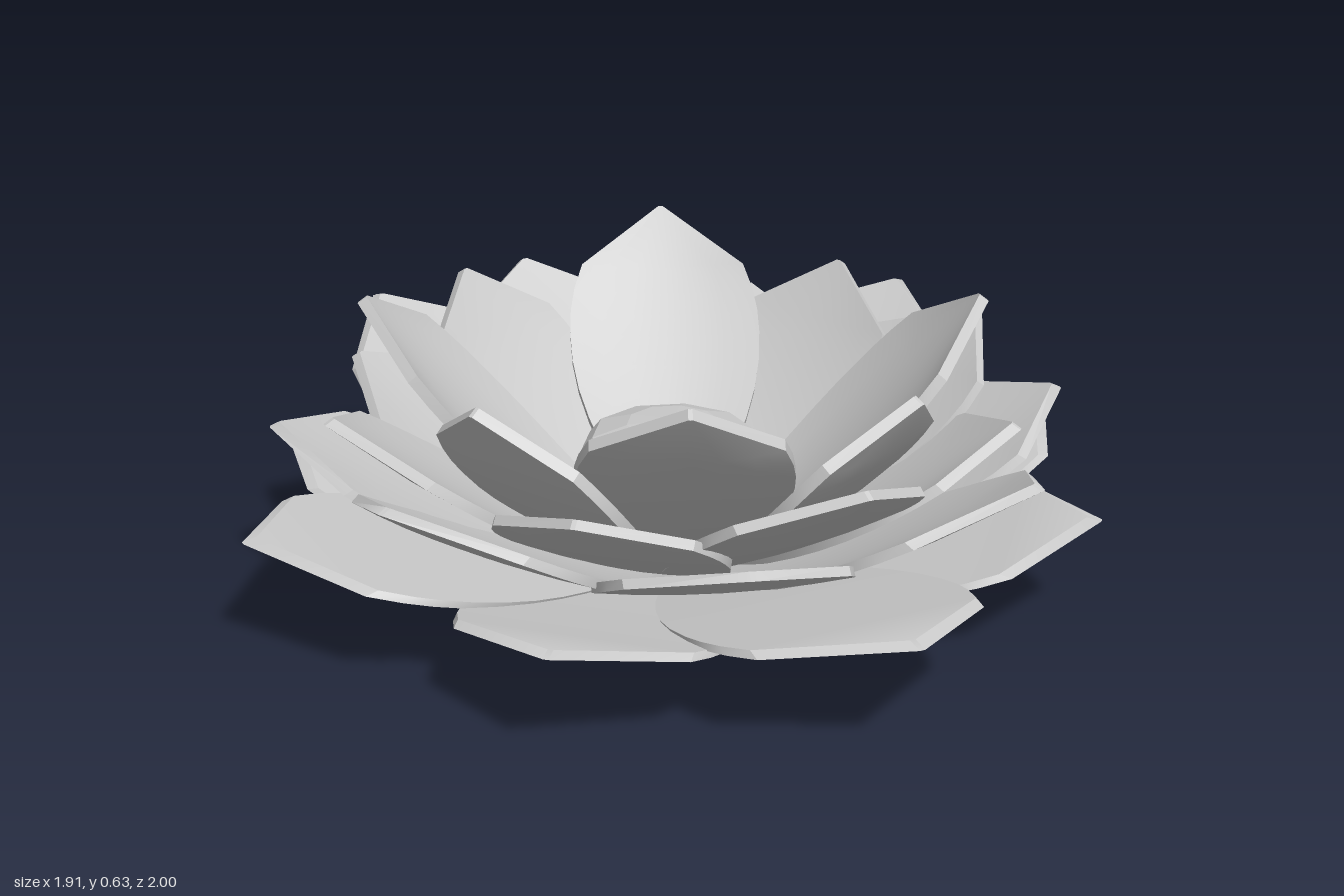
import * as THREE from 'three';
import { toCreasedNormals } from 'three/addons/utils/BufferGeometryUtils.js';

// Petal outline: [position along the petal, half width factor]
const OUTLINE = [
  [0, 0.08], [0.08, 0.2], [0.16, 0.36], [0.24, 0.53], [0.32, 0.69], [0.4, 0.82], [0.48, 0.92],
  [0.56, 0.98], [0.64, 1], [0.7, 0.99], [0.76, 0.95], [0.83, 0.86], [1, 0.02],
];
const COLS = 6;
const OVAL = 0.955; // the whorls are slightly oval, narrower from side to side

// Curved, pointed petal growing from the centre along +z, with a thick rim
function petalGeometry({ r, y, w, bend, cup, thick, bevel }) {
  const curve = new THREE.QuadraticBezierCurve(
    new THREE.Vector2(0.01, 0), new THREE.Vector2(r * bend[0], y * bend[1]), new THREE.Vector2(r, y));
  const pos = [], idx = [];
  const n = 2 * (COLS + 1);

  const addVertex = (u, half, s, lift) => {
    const p = curve.getPointAt(u), t = curve.getTangentAt(u);
    const h = lift + cup * s * s * half / w;
    pos.push(s * half, p.y + t.x * h, p.x - t.y * h);
  };

  for (const [u, f] of OUTLINE) {
    for (let k = 0; k <= COLS; k++) addVertex(u * (1 - bevel), f * w, -1 + 2 * k / COLS, thick);
    for (let k = COLS; k >= 0; k--) addVertex(u, f * w, -1 + 2 * k / COLS, 0);
  }
  // Skin around the cross-sections
  for (let i = 0; i < OUTLINE.length - 1; i++) {
    for (let k = 0; k < n; k++) {
      const a = i * n + k, b = i * n + (k + 1) % n;
      idx.push(a, a + n, b + n, a, b + n, b);
    }
  }
  // Close the base and the tip
  const last = (OUTLINE.length - 1) * n;
  for (let k = 0; k < COLS; k++) {
    const m = n - 1 - k;
    idx.push(k, k + 1, m, k + 1, m - 1, m);
    idx.push(last + k, last + m, last + k + 1, last + k + 1, last + m, last + m - 1);
  }
  const geo = new THREE.BufferGeometry();
  geo.setAttribute('position', new THREE.Float32BufferAttribute(pos, 3));
  geo.setIndex(idx);
  return toCreasedNormals(geo, 0.5);
}

// Each whorl has four petals: start angle, reach, tip height, half width, bend, cup depth, rim
const WHORLS = [
  { name: 'outerPetal', angle: 0, r: 1, y: 0.255, w: 0.3, bend: [0.42, 0.46], cup: 0, thick: 0.014, bevel: 0.03 },
  { name: 'outerDiagonalPetal', angle: 47.5, r: 0.94, y: 0.235, w: 0.28, bend: [0.5, 0.4], cup: 0, thick: 0.014, bevel: 0.03 },
  { name: 'secondPetal', angle: 24.5, r: 0.92, y: 0.435, w: 0.27, bend: [0.56, 0.32], cup: 0.015, thick: 0.02, bevel: 0.015 },
  { name: 'secondDiagonalPetal', angle: 72, r: 0.885, y: 0.38, w: 0.26, bend: [0.53, 0.33], cup: 0.015, thick: 0.02, bevel: 0.015 },
  { name: 'thirdPetal', angle: 0, r: 0.81, y: 0.475, w: 0.25, bend: [0.52, 0.34], cup: 0.02, thick: 0.022, bevel: 0.01 },
  { name: 'thirdDiagonalPetal', angle: 47.5, r: 0.76, y: 0.415, w: 0.24, bend: [0.52, 0.34], cup: 0.02, thick: 0.022, bevel: 0.01 },
  { name: 'innerDiagonalPetal', angle: 23.5, r: 0.645, y: 0.545, w: 0.22, bend: [0.61, 0.25], cup: 0.015, thick: 0.025, bevel: 0 },
  { name: 'innerPetal', angle: 65, r: 0.685, y: 0.615, w: 0.225, bend: [0.56, 0.33], cup: 0.03, thick: 0.025, bevel: 0 },
];

export function createModel() {
  const model = new THREE.Group();
  model.name = 'lotusBowl';
  const grey = new THREE.MeshStandardMaterial({ color: 0xcccccc });
  grey.name = 'paleGrey';

  // Whorls of petals
  for (const whorl of WHORLS) {
    const base = petalGeometry(whorl);
    const group = new THREE.Group();
    group.name = whorl.name + 's';
    for (let i = 0; i < 4; i++) {
      const turn = THREE.MathUtils.degToRad(whorl.angle + 90 * (i + 1));
      const petal = new THREE.Mesh(base.clone().rotateY(turn).scale(OVAL, 1, 1), grey);
      petal.name = whorl.name;
      group.add(petal);
    }
    model.add(group);
  }

  // Faceted seed head in the middle
  const headGeo = new THREE.SphereGeometry(0.21, 10, 6).rotateY(Math.PI / 10).scale(OVAL, 0.32, 1).toNonIndexed();
  headGeo.computeVertexNormals();
  const head = new THREE.Mesh(headGeo, grey);
  head.name = 'seedHead';
  head.position.y = 0.285;
  model.add(head);

  return model;
}
